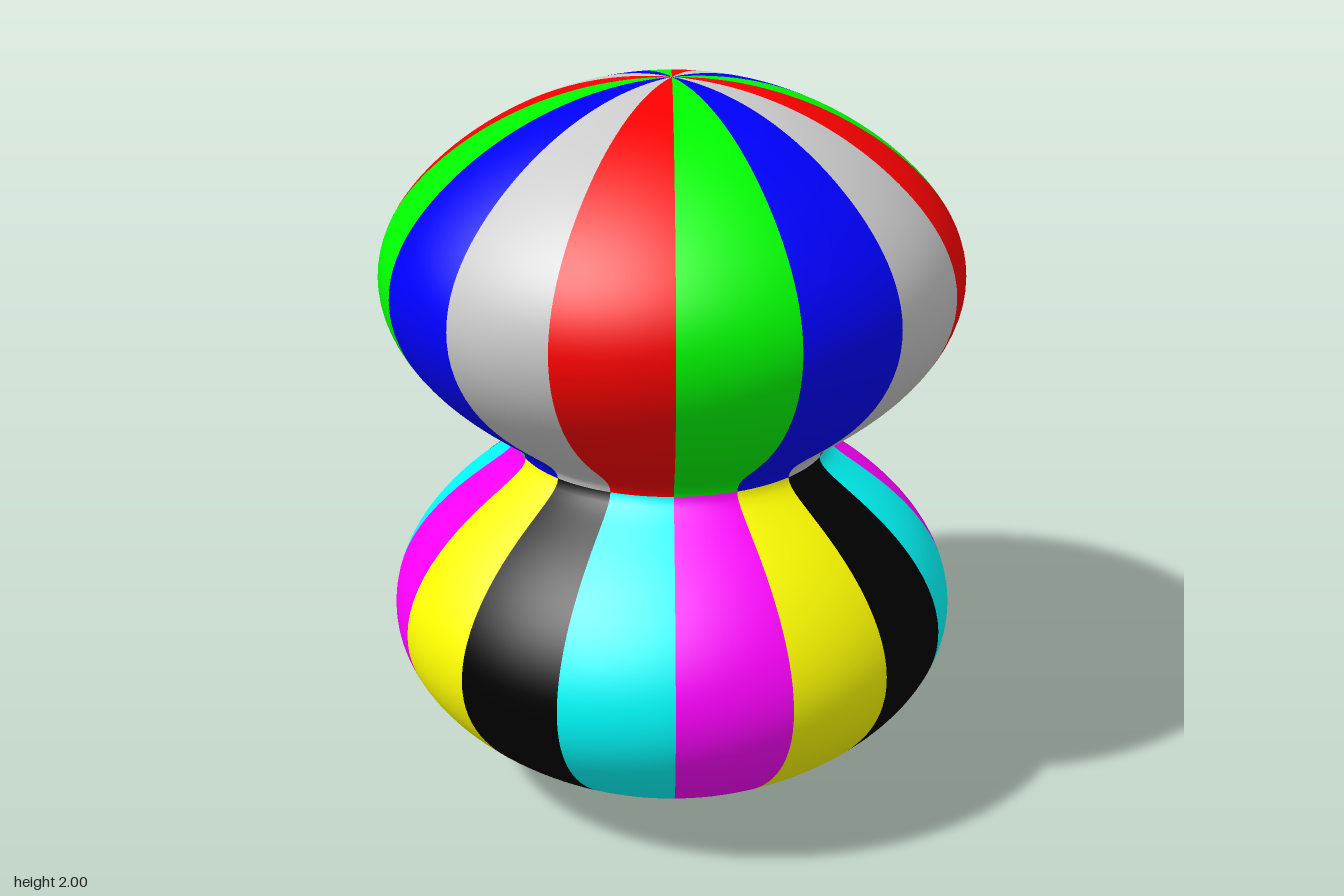
import * as THREE from 'three';

const SECTORS = 16;
const STEPS = 56;

// Polar profile: a slightly flattened sphere with a tight pinch at the equator.
function profilePoint(angle) {
  const s = Math.sin(angle);
  const radius = 1 - 0.02 * s * s - 0.55 * Math.pow(Math.max(0, s), 13.3);
  return new THREE.Vector2(Math.max(0, s * radius), 1 + Math.cos(angle) * radius);
}

// Profile between two polar angles, listed from bottom to top.
function profile(bottomAngle, topAngle) {
  return Array.from({ length: STEPS + 1 }, (_, i) =>
    profilePoint(THREE.MathUtils.lerp(bottomAngle, topAngle, i / STEPS)));
}

// One lobe made of coloured gores that repeat around the vertical axis.
function makeLobe(name, points, colors) {
  const lobe = new THREE.Group();
  lobe.name = name;
  const width = (2 * Math.PI) / SECTORS;
  const materials = colors.map((color) =>
    new THREE.MeshStandardMaterial({ color, side: THREE.DoubleSide }));
  for (let i = 0; i < SECTORS; i++) {
    const gore = new THREE.Mesh(
      new THREE.LatheGeometry(points, 8, i * width, width),
      materials[i % materials.length]);
    gore.name = `${name}Gore${i + 1}`;
    lobe.add(gore);
  }
  return lobe;
}

export function createModel() {
  const model = new THREE.Group();
  model.name = 'stripedHourglass';
  // Upper lobe: grey, red, green, blue
  model.add(makeLobe('upperLobe', profile(Math.PI / 2, 0),
    [0xcccccc, 0xff0000, 0x00ff00, 0x0000ff]));
  // Lower lobe: black, cyan, magenta, yellow
  model.add(makeLobe('lowerLobe', profile(Math.PI, Math.PI / 2),
    [0x000000, 0x00ffff, 0xff00ff, 0xffff00]));
  return model;
}
